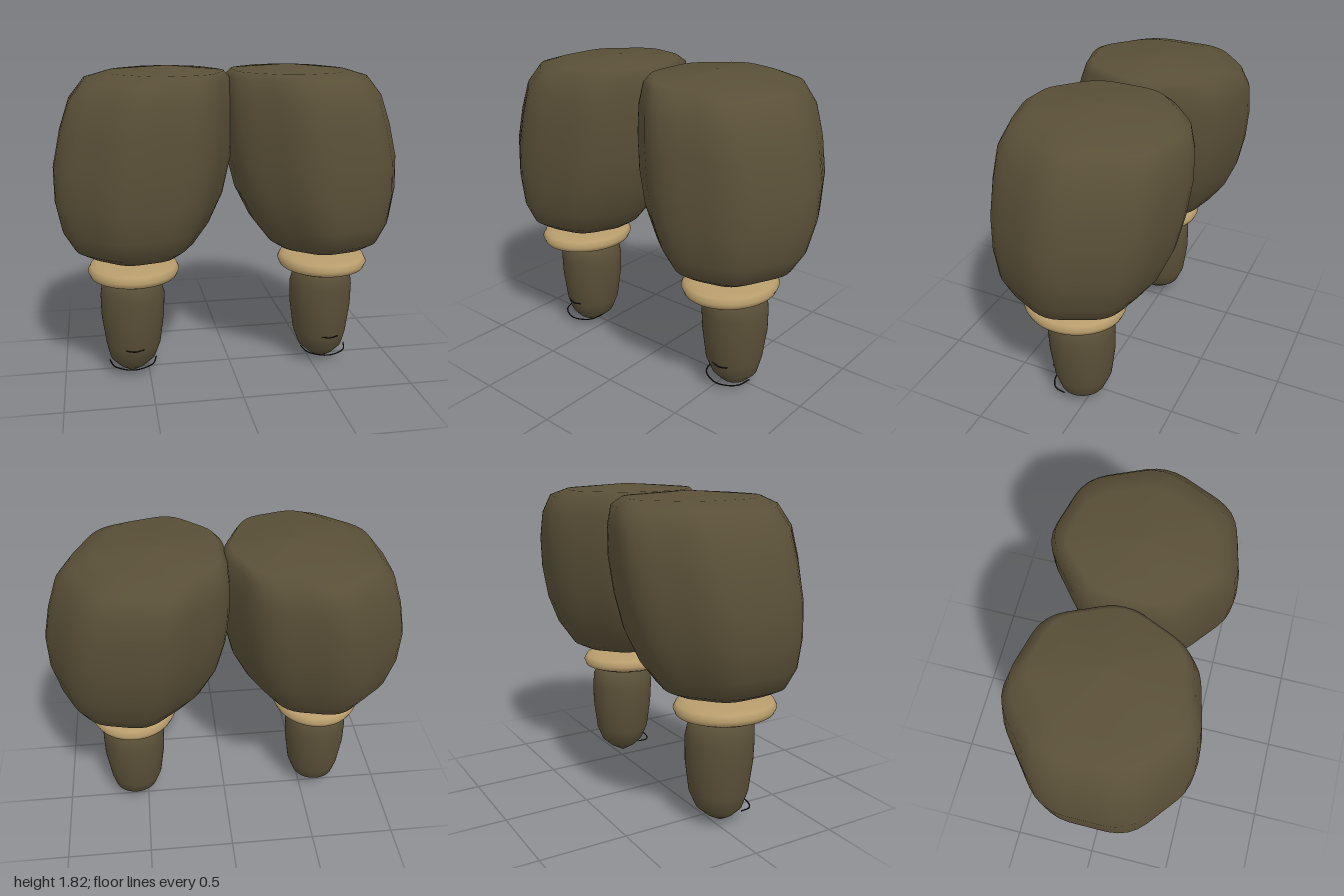
import * as THREE from 'three';

const SEG = 56;

// Smooth solid through horizontal rings, listed top to bottom as [y, midX, radiusX, midZ, radiusZ].
// lobes: depth of the seven soft ridges around the section.
function loft(rings, lobes, mirror, shift) {
  const pos = [], index = [];
  for (const [y, mx, rx, mz, rz] of rings) {
    const cx = mirror * mx + shift - lobes * rx;
    for (let j = 0; j < SEG; j++) {
      const t = (j / SEG) * Math.PI * 2;
      const f = 1 + lobes * Math.cos(7 * t);
      pos.push(cx + rx * f * Math.cos(t), y, mz + rz * f * Math.sin(t));
    }
  }
  for (let i = 0; i < rings.length - 1; i++) {
    for (let j = 0; j < SEG; j++) {
      const k = (j + 1) % SEG;
      const a = i * SEG + j, b = i * SEG + k, c = a + SEG, d = b + SEG;
      index.push(a, b, c, b, d, c);
    }
  }
  const geo = new THREE.BufferGeometry();
  geo.setAttribute('position', new THREE.Float32BufferAttribute(pos, 3));
  geo.setIndex(index);
  geo.computeVertexNormals();
  return geo;
}

const THIGH = [
  [1.82, 0.35, 0, -0.02, 0],
  [1.79, 0.355, 0.325, -0.01, 0.38],
  [1.75, 0.405, 0.41, -0.02, 0.45],
  [1.64, 0.443, 0.46, -0.012, 0.493],
  [1.48, 0.47, 0.488, -0.005, 0.505],
  [1.29, 0.5, 0.5, 0.01, 0.5],
  [1.1, 0.523, 0.477, 0.028, 0.478],
  [0.93, 0.548, 0.418, 0.05, 0.43],
  [0.82, 0.558, 0.343, 0.065, 0.365],
  [0.775, 0.55, 0.265, 0.075, 0.285],
  [0.735, 0.55, 0, 0.077, 0],
];

const CUFF = [
  [0.723, 0.553, 0, 0.082, 0],
  [0.714, 0.553, 0.21, 0.082, 0.235],
  [0.7, 0.553, 0.247, 0.082, 0.278],
  [0.67, 0.553, 0.263, 0.082, 0.295],
  [0.64, 0.553, 0.25, 0.082, 0.282],
  [0.623, 0.553, 0.215, 0.082, 0.24],
  [0.616, 0.553, 0, 0.082, 0],
];

const SHIN = [
  [0.622, 0.57, 0, 0.045, 0],
  [0.61, 0.572, 0.143, 0.045, 0.155],
  [0.57, 0.568, 0.173, 0.045, 0.19],
  [0.5, 0.563, 0.188, 0.043, 0.195],
  [0.37, 0.565, 0.185, 0.04, 0.192],
  [0.19, 0.566, 0.161, 0.04, 0.17],
  [0.1, 0.572, 0.133, 0.04, 0.132],
  [0.05, 0.575, 0.08, 0.045, 0.08],
  [0, 0.577, 0, 0.05, 0],
];

// Thin dark wire through a few points
function wire(points) {
  const curve = new THREE.CatmullRomCurve3(points.map((p) => new THREE.Vector3(...p)));
  return new THREE.TubeGeometry(curve, 20, 0.004, 6, false);
}

export function createModel() {
  const hide = new THREE.MeshStandardMaterial({ name: 'olive brown', color: 0x5a5038 });
  const tan = new THREE.MeshStandardMaterial({ name: 'tan', color: 0xb89d6c });
  const dark = new THREE.MeshStandardMaterial({ name: 'near black', color: 0x1c1a15 });

  const model = new THREE.Group();
  model.name = 'legs';

  for (const side of [1, -1]) {
    const leg = new THREE.Group();
    leg.name = side > 0 ? 'leftLeg' : 'rightLeg';
    const shift = side > 0 ? 0 : -0.023;
    const add = (name, geo, mat) => {
      const mesh = new THREE.Mesh(geo, mat);
      mesh.name = name;
      leg.add(mesh);
      return mesh;
    };

    add('thigh', loft(THIGH, 0.025, side, 0), hide);
    add('cuff', loft(CUFF, 0, side, shift), tan);
    add('shin', loft(SHIN, 0, side, shift), hide);

    // Toe outline looping round the front, and a short crease above it
    const cx = side * 0.575 + shift;
    add('toeLoop', wire([
      [-0.138, 0.1, 0.09], [-0.11, 0.09, 0.17], [0, 0.082, 0.217],
      [0.11, 0.09, 0.17], [0.138, 0.1, 0.09],
    ]), dark).position.x = cx;
    add('toeCrease', wire([
      [-0.052, 0.2, 0.205], [0, 0.195, 0.217], [0.052, 0.2, 0.205],
    ]), dark).position.x = cx + 0.01;
    model.add(leg);
  }
  return model;
}
